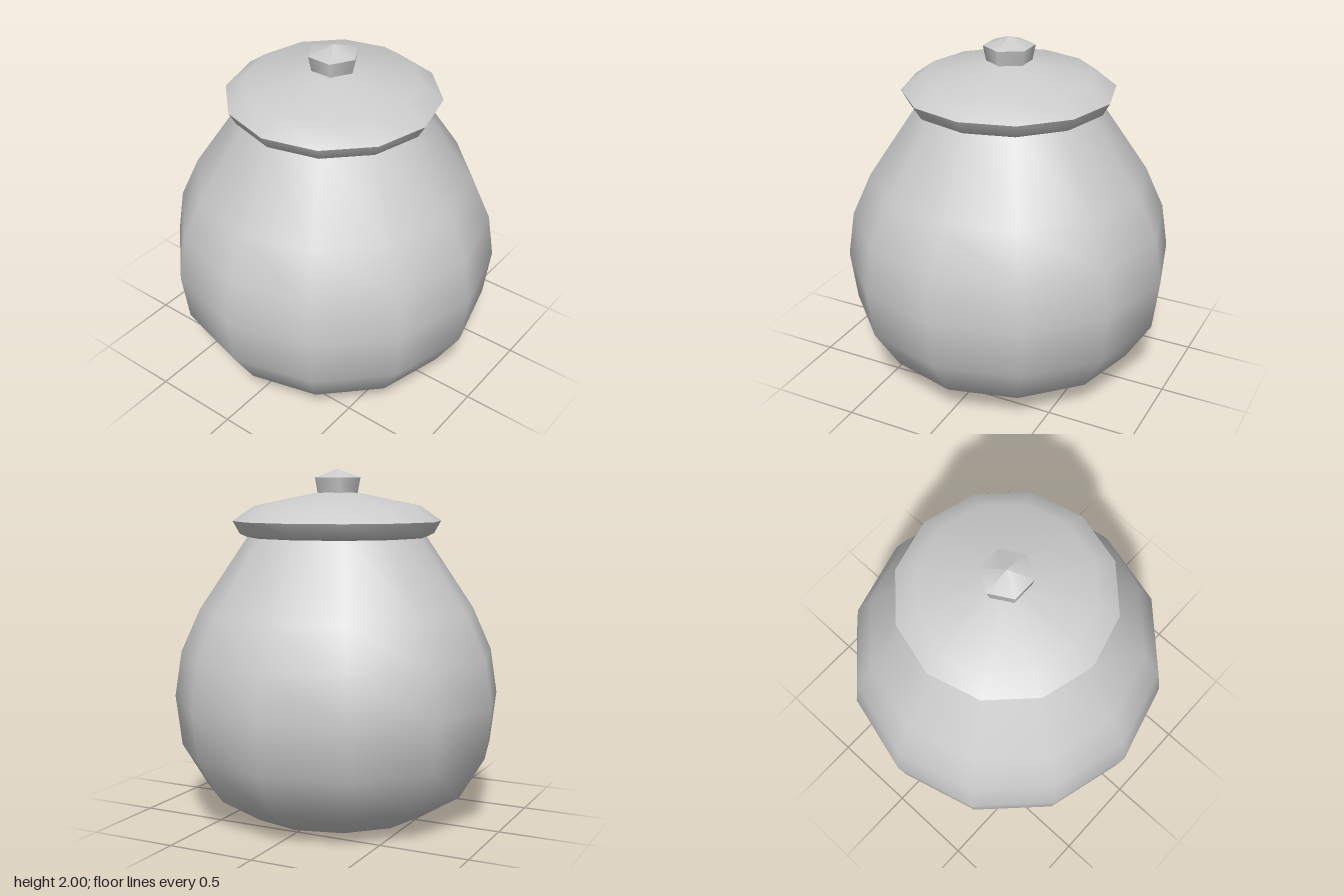
import * as THREE from 'three';

export function createModel() {
  const group = new THREE.Group();
  const clay = new THREE.MeshStandardMaterial({ color: 0xcccccc });
  clay.name = 'grey clay';

  // Turned part from a radius/height profile, listed bottom to top
  function turned(name, profile, sides) {
    const points = profile.map(([r, y]) => new THREE.Vector2(r, y));
    const mesh = new THREE.Mesh(new THREE.LatheGeometry(points, sides), clay);
    mesh.name = name;
    group.add(mesh);
  }

  // Round-bellied jar
  turned('body', [
    [0, 0], [0.53, 0.02], [0.765, 0.165], [0.91, 0.405], [0.945, 0.695],
    [0.905, 0.955], [0.795, 1.2], [0.51, 1.625],
  ], 12);

  // Lid, split at its sharp rim
  turned('lidUnderside', [[0, 1.615], [0.52, 1.615], [0.56, 1.633], [0.6, 1.705]], 12);
  turned('lidTop', [[0.6, 1.705], [0.48, 1.79], [0.12, 1.865], [0, 1.868]], 12);

  // Six-sided knob with a shallow pointed cap
  turned('knobSide', [[0.127, 1.86], [0.145, 1.95]], 6);
  turned('knobCap', [[0.145, 1.95], [0, 2]], 6);

  return group;
}
